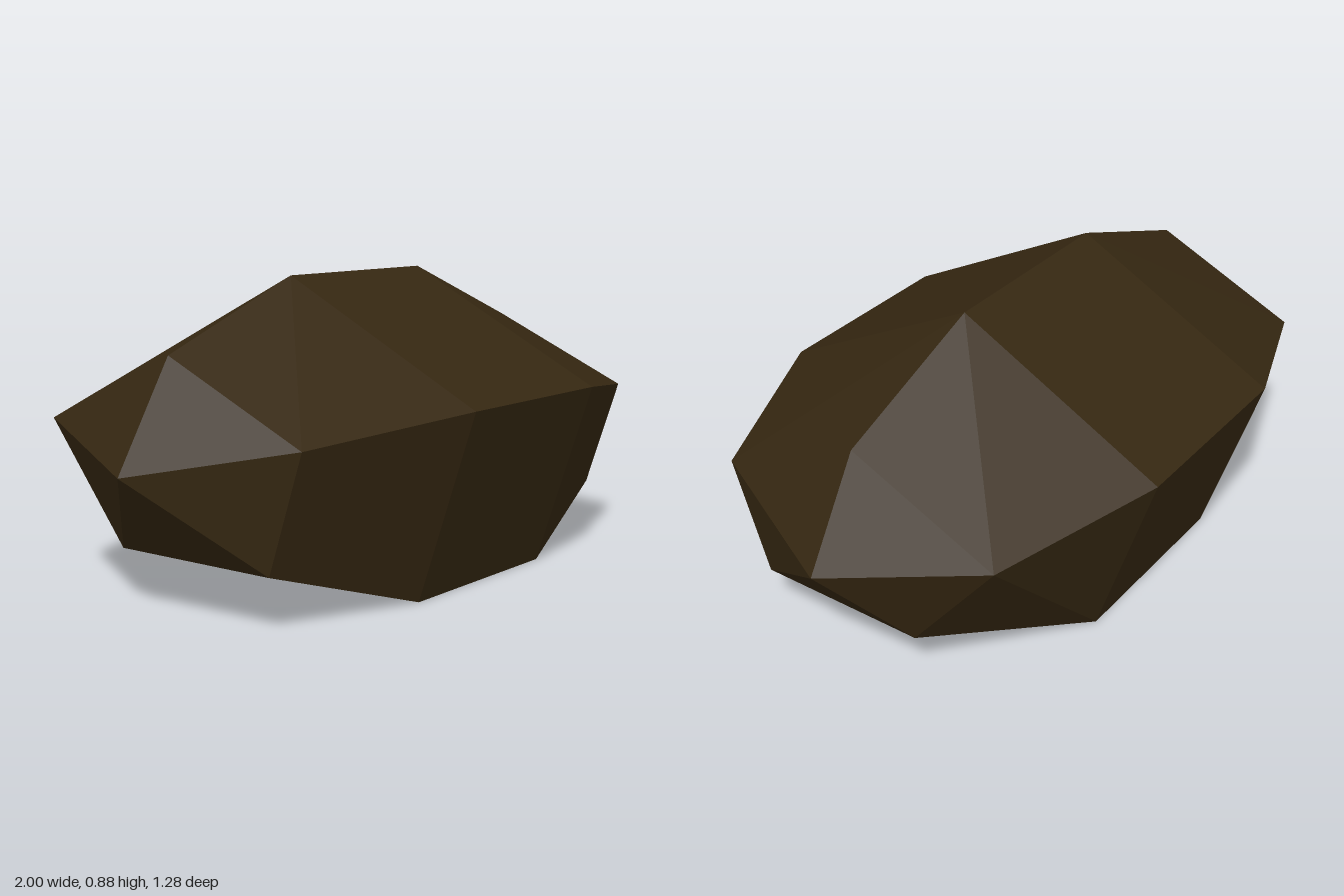
import * as THREE from 'three';
import { ConvexGeometry } from 'three/addons/geometries/ConvexGeometry.js';

// Five-sided cross-sections as [y, z], from the middle of the stone to its tip
const sections = [
  { x: 0.31, ring: [[0.885, 0], [0.55, 0.638], [0, 0.456], [0, -0.456], [0.55, -0.638]] },
  { x: 0.81, ring: [[0.7, 0], [0.492, 0.456], [0.155, 0.345], [0.155, -0.185], [0.492, -0.456]] },
  { x: 1, ring: [[0.4, 0]] },
];

export function createModel() {
  const group = new THREE.Group();
  group.name = 'facetedStone';

  const darkBrown = new THREE.MeshStandardMaterial({ color: 0x352711, flatShading: true });
  darkBrown.name = 'darkBrown';

  // Mirror the sections to both ends and wrap them in flat facets
  const points = [];
  for (const side of [1, -1]) {
    for (const { x, ring } of sections) {
      for (const [y, z] of ring) points.push(new THREE.Vector3(side * x, y, z));
    }
  }

  const stone = new THREE.Mesh(new ConvexGeometry(points), darkBrown);
  stone.name = 'stone';
  group.add(stone);
  return group;
}
